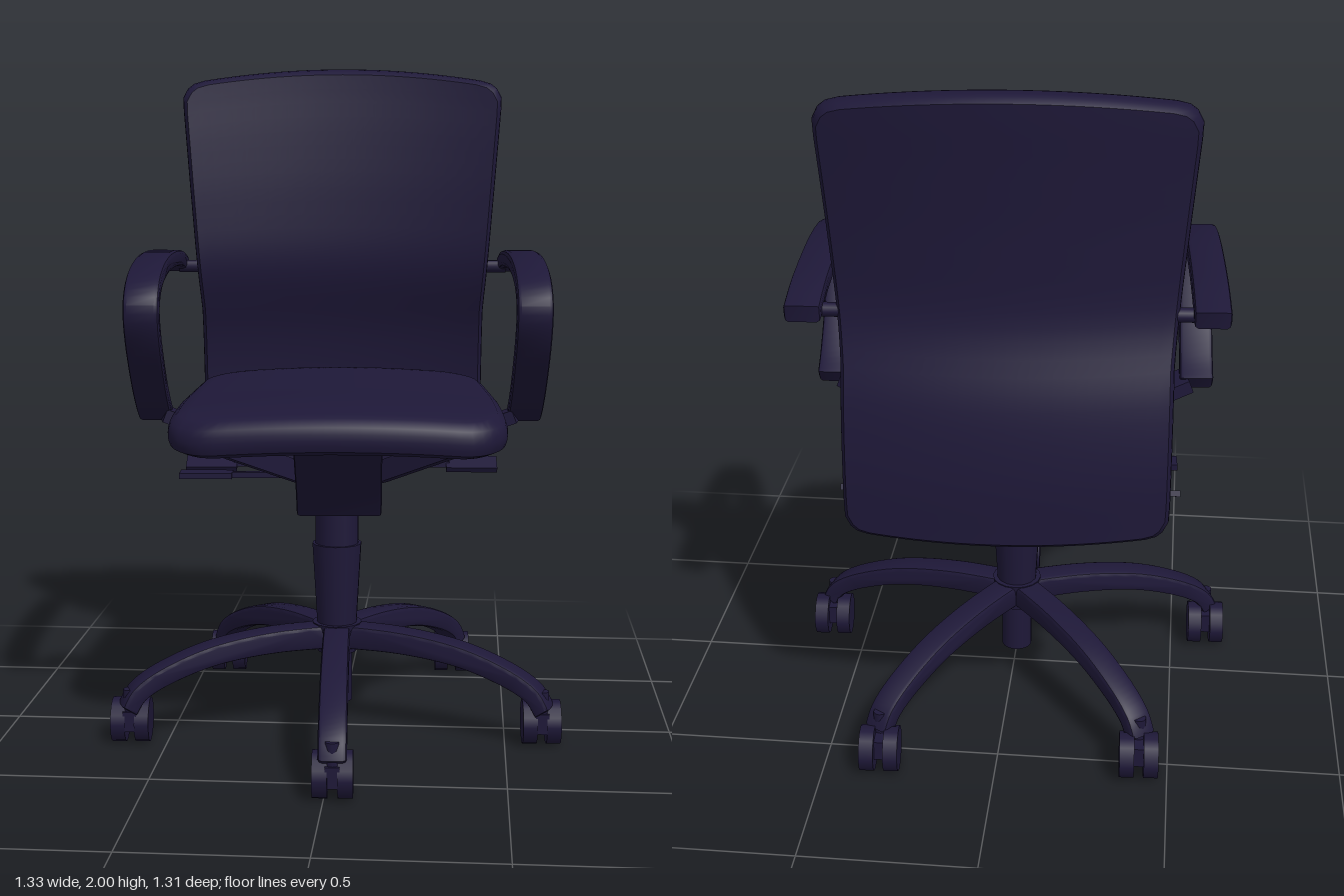
import * as THREE from 'three';
import { toCreasedNormals } from 'three/addons/utils/BufferGeometryUtils.js';

const material = new THREE.MeshStandardMaterial({ color: 0x1e1838, side: THREE.DoubleSide });
const clamp = THREE.MathUtils.clamp;

function add(parent, name, geometry, x = 0, y = 0, z = 0) {
  const mesh = new THREE.Mesh(geometry, material);
  mesh.name = name;
  mesh.position.set(x, y, z);
  parent.add(mesh);
  return mesh;
}

// Straight bar between two points
function beam(parent, name, from, to, w, h) {
  const a = new THREE.Vector3(...from), b = new THREE.Vector3(...to);
  const mesh = add(parent, name, new THREE.BoxGeometry(w, h, a.distanceTo(b)));
  mesh.position.copy(a).lerp(b, 0.5);
  mesh.lookAt(b);
  return mesh;
}

// Side profile in (z, y), extruded across x and centred on it
function sideExtrude(points, width, bevel = 0) {
  const geo = new THREE.ExtrudeGeometry(new THREE.Shape(points), {
    depth: width - 2 * bevel, bevelEnabled: bevel > 0, bevelSize: bevel,
    bevelThickness: bevel, bevelOffset: -bevel, bevelSegments: 2,
  });
  geo.translate(0, 0, bevel - width / 2).rotateY(-Math.PI / 2);
  return toCreasedNormals(geo, 0.5);
}

// Curved strip in the side plane; its thickness runs from t0 to t1
function ribbon(points, t0, t1, width, bevel, steps = 28) {
  const curve = new THREE.SplineCurve(points.map(p => new THREE.Vector2(...p)));
  const outer = [], inner = [];
  for (let i = 0; i <= steps; i++) {
    const p = curve.getPoint(i / steps), t = curve.getTangent(i / steps);
    const n = new THREE.Vector2(-t.y, t.x).multiplyScalar(THREE.MathUtils.lerp(t0, t1, i / steps) / 2);
    outer.push(p.clone().add(n));
    inner.unshift(p.clone().sub(n));
  }
  return sideExtrude([...outer, ...inner], width, bevel);
}

// Padded slab with rounded corners, bent by place(a, b, n), a, b and n in -1..1
function cushion(halfW, halfH, radius, edge, place) {
  const geo = new THREE.BoxGeometry(2, 2, 2, 28, 28, 6);
  const pos = geo.attributes.position;
  for (let i = 0; i < pos.count; i++) {
    let a = pos.getX(i) * halfW, b = pos.getY(i) * halfH;
    const n = pos.getZ(i);
    const ca = clamp(a, radius - halfW, halfW - radius), cb = clamp(b, radius - halfH, halfH - radius);
    const da = a - ca, db = b - cb, len = Math.hypot(da, db);
    if (len > 0) {
      const k = Math.max(Math.abs(da), Math.abs(db)) / len;
      a = ca + da * k;
      b = cb + db * k;
    }
    const inset = 1 - edge * (1 - Math.sqrt(Math.max(0, 1 - n * n)));
    pos.setXYZ(i, ...place(a * inset / halfW, b * inset / halfH, n));
  }
  return toCreasedNormals(geo, 0.7);
}

function createBase() {
  const base = new THREE.Group();
  base.name = 'base';
  base.position.set(-0.01, 0, -0.015);
  add(base, 'hub', new THREE.CylinderGeometry(0.075, 0.06, 0.09, 16), 0, 0.28);
  add(base, 'lowerColumn', new THREE.CylinderGeometry(0.047, 0.047, 0.24, 14), 0, 0.2);
  add(base, 'columnSleeve', new THREE.CylinderGeometry(0.075, 0.06, 0.26, 14), 0, 0.44);
  add(base, 'upperColumn', new THREE.CylinderGeometry(0.066, 0.066, 0.14, 14), 0, 0.62);

  const legGeo = ribbon([[0, 0.285], [0.2, 0.283], [0.38, 0.26], [0.52, 0.215], [0.61, 0.165], [0.647, 0.11]],
    0.075, 0.05, 0.08, 0.012);
  const wheelGeo = new THREE.CylinderGeometry(0.066, 0.066, 0.042, 14).rotateZ(Math.PI / 2);
  for (let i = 0; i < 5; i++) {
    const angle = 0.055 + i * Math.PI * 2 / 5;
    add(base, 'leg', legGeo).rotation.y = angle;
    // Castors all trail towards the rear
    const castor = new THREE.Group();
    castor.name = 'castor';
    castor.position.set(Math.sin(angle) * 0.64, 0, Math.cos(angle) * 0.64);
    castor.rotation.y = 0.05;
    add(castor, 'castorStem', new THREE.CylinderGeometry(0.02, 0.02, 0.1, 10), 0, 0.12);
    add(castor, 'castorFork', new THREE.BoxGeometry(0.04, 0.06, 0.09), 0, 0.075, -0.02);
    for (const s of [-1, 1]) add(castor, 'wheel', wheelGeo, s * 0.035, 0.066, -0.035);
    base.add(castor);
  }
  return base;
}

function createMechanism() {
  const group = new THREE.Group();
  group.name = 'mechanism';
  const profile = [[0.38, 0.95], [0.18, 0.76], [0.12, 0.68], [-0.2, 0.68], [-0.34, 0.78], [-0.38, 0.95]];
  add(group, 'housing', sideExtrude(profile.map(p => new THREE.Vector2(...p)), 0.25, 0.01));
  for (const s of [-1, 1]) {
    // Spreading arms that carry the seat
    for (const [z0, z1] of [[0.1, 0.33], [-0.12, -0.3]])
      beam(group, 'seatArm', [s * 0.1, 0.8, z0], [s * 0.38, 0.945, z1], 0.1, 0.06);
    beam(group, 'armStrut', [s * 0.1, 0.81, -0.02], [s * 0.52, 0.975, 0.06], 0.1, 0.04);
    beam(group, 'lever', [s * 0.1, 0.765, -0.27], [s * 0.34, 0.765, -0.27], 0.02, 0.018);
    add(group, 'leverPaddle', new THREE.BoxGeometry(0.16, 0.018, 0.06), s * 0.41, 0.765, -0.27).rotation.x = 0.5;
  }
  beam(group, 'tiltLever', [-0.1, 0.765, -0.08], [-0.34, 0.765, -0.08], 0.02, 0.018);
  add(group, 'tiltPaddle', new THREE.BoxGeometry(0.16, 0.018, 0.06), -0.41, 0.765, -0.08);
  add(group, 'tensionKnob', new THREE.CylinderGeometry(0.025, 0.025, 0.05, 10), 0, 0.72, -0.3).rotation.x = -0.9;
  add(group, 'backBracket', new THREE.BoxGeometry(0.2, 0.09, 0.2), 0, 0.865, -0.42);
  return group;
}

export function createModel() {
  const model = new THREE.Group();
  model.name = 'officeChair';
  model.add(createBase());

  const upper = new THREE.Group();
  upper.name = 'upperChair';
  upper.rotation.y = 0.055;
  model.add(upper);
  upper.add(createMechanism());

  // Seat: tapers to the rear, nose rolls down, side edges dip
  add(upper, 'seat', cushion(0.48, 0.46, 0.13, 0.06, (a, b, n) => {
    const front = Math.max(0, -b);
    const halfW = 0.475 - 0.035 * Math.max(0, b);
    const y = 1.0 - 0.025 * a * a - 0.035 * front ** 4 + 0.012 * Math.max(0, b);
    return [a * halfW, y + n * (0.043 + 0.008 * front), 0.02 - b * (0.465 - 0.025 * a * a * front)];
  }));

  // Backrest: lumbar bend from top to bottom, bowed from side to side
  const spine = new THREE.SplineCurve([-0.525, -0.53, -0.505, -0.445, -0.445, -0.46, -0.478]
    .map((z, i) => new THREE.Vector2(z, i)));
  add(upper, 'backrest', cushion(0.48, 0.63, 0.06, 0.03, (a, b, n) => {
    const t = clamp((b + 1) / 2, 0, 1);
    const halfW = 0.45 + 0.055 * Math.max(0, t - 0.4) / 0.6;
    const bow = 0.04 + 0.035 * t;
    return [a * halfW, 0.74 + 1.26 * t - 0.05 * a * a * t * t + 0.02 * a * a * (1 - t),
      spine.getPoint(t).x + bow * a * a + n * 0.05];
  }));

  // Looped armrests, joined to the backrest sides
  const armGeo = ribbon([[-0.46, 1.385], [-0.3, 1.412], [-0.05, 1.42], [0.14, 1.405], [0.27, 1.37], [0.33, 1.31],
    [0.3, 1.22], [0.2, 1.1], [0.11, 1.02], [0.04, 0.975]], 0.05, 0.05, 0.1, 0.012, 40);
  for (const s of [-1, 1]) {
    add(upper, 'armrest', armGeo, s * 0.545);
    add(upper, 'armrestJoint', new THREE.CylinderGeometry(0.02, 0.02, 0.12, 10), s * 0.46, 1.38, -0.41).rotation.z = Math.PI / 2;
  }
  return model;
}
